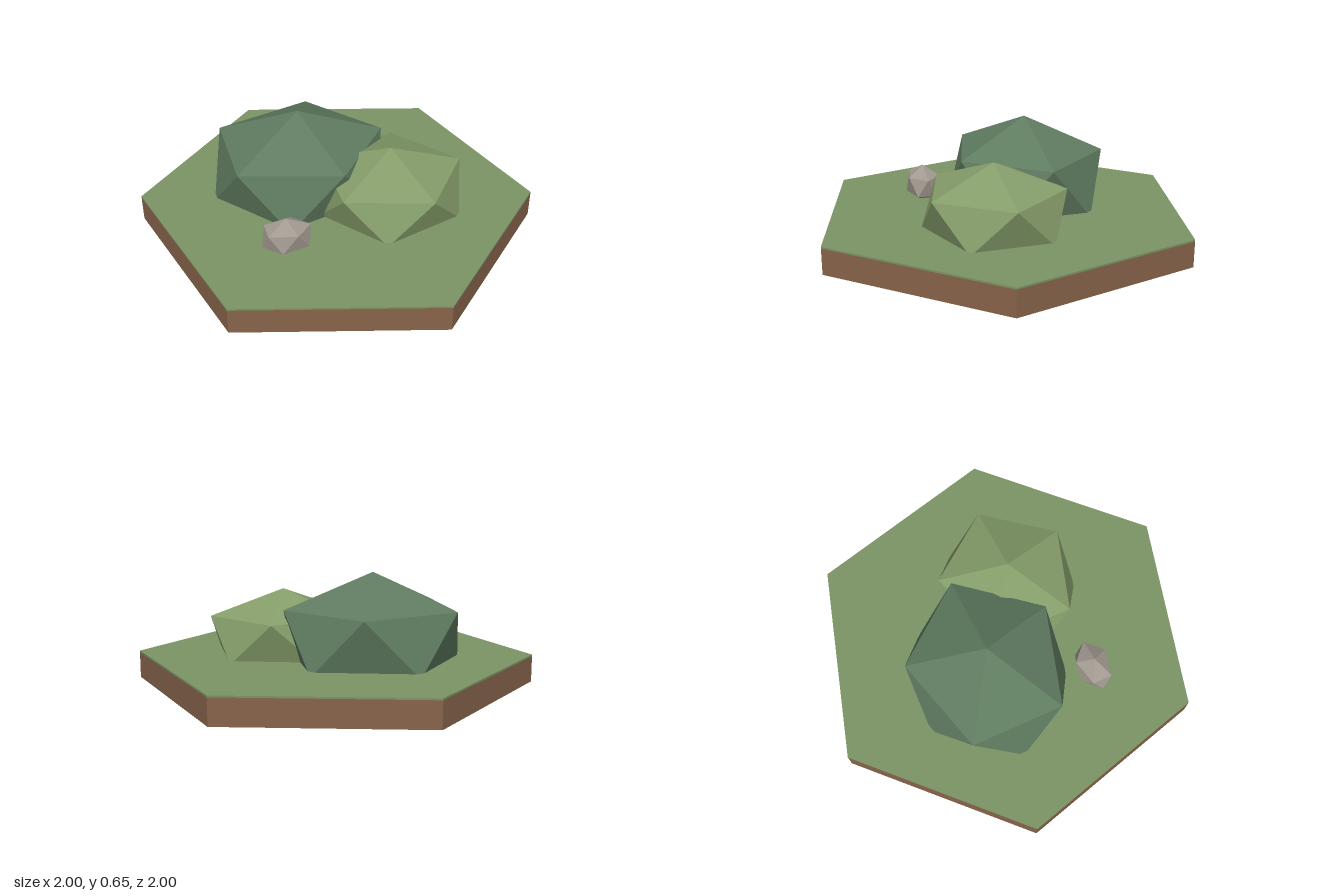
import * as THREE from 'three';

export function createModel() {
  const material = (name, color) => {
    const m = new THREE.MeshStandardMaterial({ color, flatShading: true });
    m.name = name;
    return m;
  };
  const soil = material('soil brown', 0x87634a);
  const grass = material('grass green', 0x7b9365);
  const darkLeaf = material('dark leaf green', 0x5f7b60);
  const lightLeaf = material('light leaf green', 0x859d6a);
  const stone = material('stone grey', 0xa29a91);

  const model = new THREE.Group();
  model.name = 'gardenTile';

  const add = (name, geometry, mat, x, y, z) => {
    const mesh = new THREE.Mesh(geometry, mat);
    mesh.name = name;
    mesh.position.set(x, y, z);
    model.add(mesh);
  };

  // Six-sided slab, given by its bottom and top heights
  const slab = (name, mat, bottom, top) => {
    const g = new THREE.CylinderGeometry(1.035, 1.035, top - bottom, 6, 1, false, Math.PI / 12);
    add(name, g, mat, 0, (bottom + top) / 2, 0);
  };

  // Squashed icosahedron standing on one corner, with an upper corner towards +x
  const blob = (name, mat, [x, y, z], [rx, ry, rz]) => {
    const g = new THREE.IcosahedronGeometry(1, 0);
    g.rotateZ(-Math.atan(2 / (1 + Math.sqrt(5))));
    g.scale(rx, ry, rz);
    add(name, g, mat, x, y, z);
  };

  // Ground
  slab('soilBase', soil, 0.065, 0.2);
  slab('grassTop', grass, 0.2, 0.209);

  // Bushes and stone, sunk into the ground
  blob('largeBush', darkLeaf, [-0.165, 0.328, -0.165], [0.514, 0.327, 0.459]);
  blob('smallBush', lightLeaf, [0.246, 0.298, 0.135], [0.43, 0.242, 0.406]);
  blob('stone', stone, [-0.357, 0.27, 0.353], [0.14, 0.105, 0.099]);

  return model;
}
